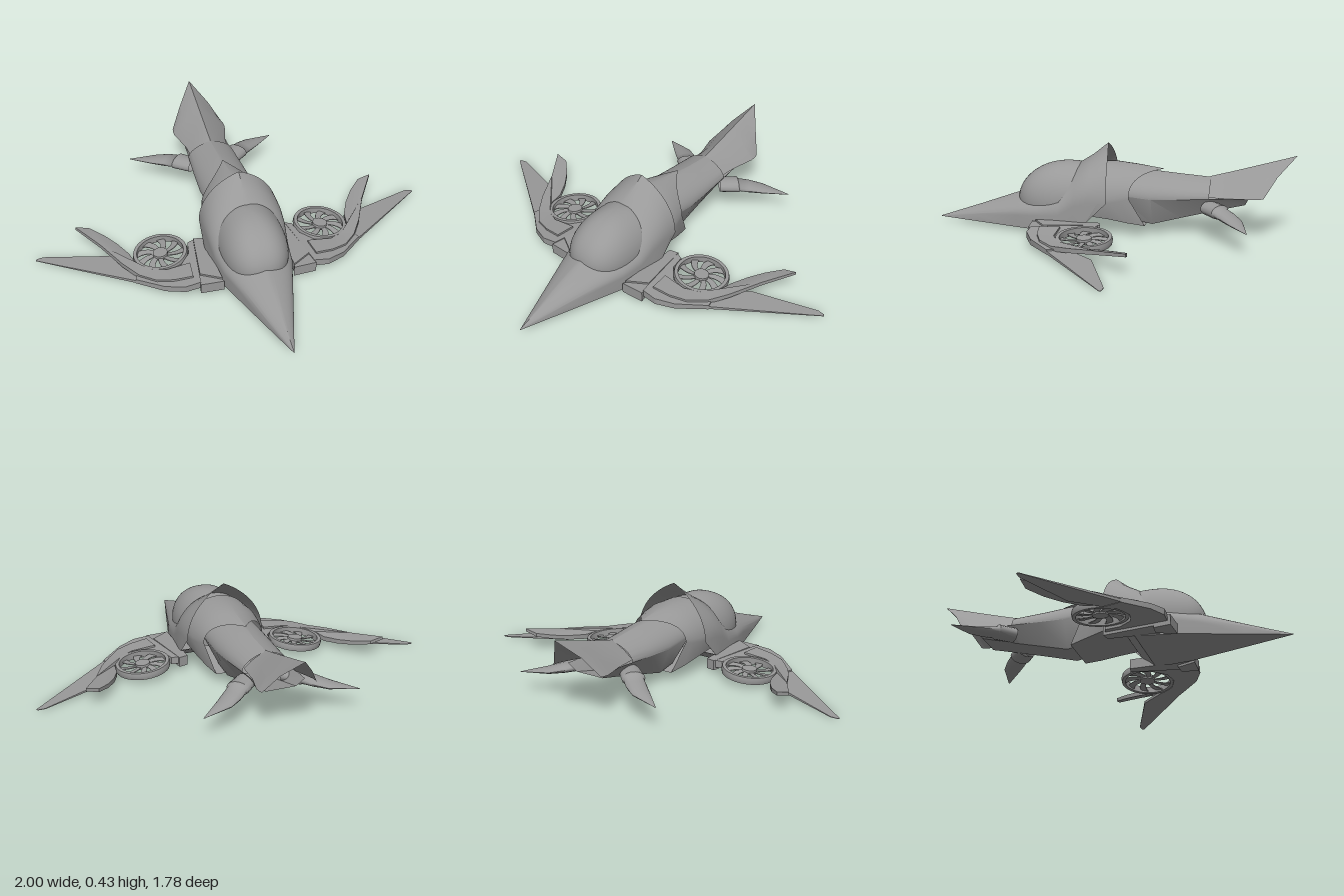
import * as THREE from 'three';
import { toCreasedNormals } from 'three/addons/utils/BufferGeometryUtils.js';

const mat = new THREE.MeshStandardMaterial({ color: 0x999999, side: THREE.DoubleSide });
const mix = THREE.MathUtils.lerp;

function part(name, geometry, crease = 0.6) {
  const mesh = new THREE.Mesh(toCreasedNormals(geometry, crease), mat);
  mesh.name = name;
  return mesh;
}

// Skin a row of cross-sections, each a list of [x, y, z]
function loft(rings, closed = true) {
  const n = rings[0].length, index = [];
  for (let i = 0; i < rings.length - 1; i++) {
    for (let j = 0; j < (closed ? n : n - 1); j++) {
      const a = i * n + j, b = i * n + (j + 1) % n, c = a + n, d = b + n;
      index.push(a, c, b, b, c, d);
    }
  }
  const g = new THREE.BufferGeometry();
  g.setAttribute('position', new THREE.Float32BufferAttribute(rings.flat(2), 3));
  g.setIndex(index);
  return g;
}

// Fuselage section: flat floor, side wall and an arch that can come to a point.
// zb, zs and zt shift the floor, shoulder and crown along the body.
function section({ z, zb = z, zs = z, zt = z, w, wb = w, yb, ys, top, point = 0 }) {
  const half = [[wb, yb, zb]], steps = 14;
  for (let i = 0; i <= steps; i++) {
    const t = i / steps, a = t * Math.PI / 2;
    const rise = mix(Math.sin(a), t, point);
    half.push([w * Math.cos(a), mix(ys, top, rise), mix(zs, zt, t ** 2.6)]);
  }
  const mirrored = half.slice(0, -1).reverse().map(([x, y, zz]) => [-x, y, zz]);
  return [...half, ...mirrored];
}
const body = (name, list) => part(name, loft(list.map(section)), 0.5);

// Bubble canopy: upper dome, squared off a little in plan
function canopy() {
  const g = new THREE.SphereGeometry(1, 48, 20, 0, Math.PI * 2, 0, Math.PI * 0.53);
  const p = g.attributes.position, k = 2.5;
  for (let i = 0; i < p.count; i++) {
    const x = p.getX(i), z = p.getZ(i), r = Math.hypot(x, z);
    const f = r / ((Math.abs(x) ** k + Math.abs(z) ** k) ** (1 / k) || 1);
    p.setXYZ(i, x * f * 0.165, 0.148 + p.getY(i) * 0.187, 0.217 + z * f * 0.26);
  }
  return part('canopy', g, 1);
}

// Plate drawn in plan (x, z), bent to a top surface and given a thickness
function plate(name, outline, top, thick) {
  const shape = new THREE.Shape(outline.map(([x, z]) => new THREE.Vector2(x, z)));
  const g = new THREE.ExtrudeGeometry(shape, { depth: 1, bevelEnabled: false });
  const p = g.attributes.position;
  for (let i = 0; i < p.count; i++) {
    const x = p.getX(i), z = p.getY(i), d = p.getZ(i);
    p.setXYZ(i, x, top(x) - d * thick(x), z);
  }
  return part(name, g, 0.4);
}
const wingTop = (x) => 0.074 - 0.1 * (x - 0.25);

function liftFan() {
  const fan = new THREE.Group();
  fan.name = 'liftFan';
  const ring = [[0.115, -0.018], [0.132, -0.018], [0.136, 0], [0.132, 0.016], [0.115, 0.016], [0.115, -0.018]];
  fan.add(part('fanRing', new THREE.LatheGeometry(ring.map(([r, y]) => new THREE.Vector2(r, y)), 40)));
  fan.add(part('fanHub', new THREE.CylinderGeometry(0.036, 0.038, 0.022, 24)));
  const s = new THREE.Shape();
  s.moveTo(0.028, -0.011);
  s.quadraticCurveTo(0.08, -0.018, 0.117, 0.016);
  s.lineTo(0.104, 0.054);
  s.quadraticCurveTo(0.08, 0.014, 0.028, 0.009);
  const blade = new THREE.ExtrudeGeometry(s, { depth: 0.004, bevelEnabled: false, curveSegments: 6 });
  blade.rotateX(Math.PI / 2 + 0.15);
  for (let i = 0; i < 9; i++) {
    const b = part('fanBlade', blade);
    b.rotation.y = i * Math.PI * 2 / 9;
    fan.add(b);
  }
  fan.position.set(0.413, 0.052, 0.072);
  fan.rotation.z = -0.1;
  return fan;
}

// Socket and blade, elliptical between leading and trailing points [lx, lz, tx, tz, y, h]
function tailplane() {
  const stations = [
    [0.13, -0.44, 0.06, -0.51, 0.15, 0.034],
    [0.205, -0.5, 0.125, -0.575, 0.147, 0.034],
    [0.205, -0.51, 0.135, -0.575, 0.144, 0.026],
    [0.24, -0.54, 0.18, -0.615, 0.135, 0.022],
    [0.295, -0.59, 0.24, -0.652, 0.123, 0.014],
    [0.39, -0.68, 0.386, -0.683, 0.107, 0.001],
  ];
  return part('tailplane', loft(stations.map(([lx, lz, tx, tz, y, h]) =>
    Array.from({ length: 14 }, (_, i) => {
      const a = i / 14 * Math.PI * 2, t = 0.5 + 0.5 * Math.cos(a);
      return [mix(lx, tx, t), y + h * Math.sin(a), mix(lz, tz, t)];
    }))), 0.9);
}

function side() {
  const g = new THREE.Group();
  g.add(plate('rootStrip', [[0.19, 0.04], [0.235, 0.03], [0.275, 0.3], [0.18, 0.36]],
    () => 0.075, () => 0.05));
  g.add(plate('rootHinge', [[0.215, 0.28], [0.275, 0.285], [0.29, 0.37], [0.175, 0.375]],
    () => 0.066, () => 0.052));
  g.add(plate('innerWing', [[0.238, 0.04], [0.27, 0.05], [0.285, 0.13], [0.34, 0.195], [0.413, 0.21],
    [0.49, 0.18], [0.54, 0.12], [0.57, 0.215], [0.45, 0.32], [0.36, 0.36], [0.285, 0.355]],
    wingTop, (x) => 0.036 - 0.04 * (x - 0.25)));
  g.add(plate('outerWing', [[0.53, 0.13], [0.65, -0.01], [0.96, -0.123], [0.995, -0.12], [1, -0.11],
    [0.57, 0.215]], (x) => 0.037 - 0.074 * (x - 0.55), (x) => 0.015 - 0.028 * (x - 0.55)));
  // Swept blade that curls upward at its tip
  g.add(plate('wingBlade', [[0.3, 0.21], [0.42, 0.215], [0.49, 0.18], [0.545, 0.11], [0.56, 0.03], [0.6, -0.05],
    [0.65, -0.12], [0.715, -0.183], [0.78, -0.187], [0.73, -0.11], [0.685, -0.04], [0.645, 0.04],
    [0.61, 0.11], [0.55, 0.2], [0.48, 0.27], [0.4, 0.3], [0.31, 0.31]],
    (x) => Math.max(wingTop(x) + 0.01, 0.054 + 0.23 * (x - 0.56)),
    (x) => 0.034 - 0.04 * (x - 0.3)));
  g.add(liftFan(), tailplane());
  return g;
}

// Roof-like tail fin: [ridge z, ridge y, edge x, edge y, edge z]
function tailFin() {
  const rings = [
    [-0.475, 0.284, 0.1, 0.2, -0.455],
    [-0.58, 0.312, 0.108, 0.2, -0.57],
    [-0.69, 0.343, 0.14, 0.208, -0.69],
    [-0.8, 0.374, 0.14, 0.21, -0.72],
    [-0.89, 0.4, 0.135, 0.212, -0.74],
  ].map(([rz, ry, ex, ey, ez]) => {
    const mx = ex * 0.58, my = mix(ey, ry, 0.5), mz = mix(ez, rz, 0.4);
    return [[ex, ey, ez], [mx, my, mz], [0, ry, rz], [-mx, my, mz], [-ex, ey, ez]];
  });
  return part('tailFin', loft(rings, false), 0.5);
}

// Open tray under the fin: [rim z, floor z, rim x, rim y, floor x, floor y]
function tailTray() {
  const rings = [
    [-0.44, -0.44, 0.118, 0.195, 0.068, 0.112],
    [-0.67, -0.65, 0.108, 0.207, 0.075, 0.165],
  ].map(([rz, fz, rx, ry, fx, fy]) => [[-rx, ry, rz], [-fx, fy, fz], [fx, fy, fz], [rx, ry, rz]]);
  return part('tailTray', loft(rings, false), 0.4);
}

export function createModel() {
  const model = new THREE.Group();
  model.name = 'aircraft';

  // Nose that widens into the raised collar behind the canopy
  model.add(body('noseAndCollar', [
    { z: 0.89, w: 0.001, yb: 0.02, ys: 0.022, top: 0.024, point: 0.5 },
    { z: 0.67, w: 0.072, yb: 0.02, ys: 0.05, top: 0.1, point: 0.5 },
    { z: 0.47, w: 0.135, yb: 0.02, ys: 0.08, top: 0.172, point: 0.5 },
    { z: 0.36, w: 0.17, yb: 0.02, ys: 0.09, top: 0.2, point: 0.4 },
    { z: 0.25, w: 0.185, yb: 0.02, ys: 0.1, top: 0.24, point: 0.2 },
    { z: 0.17, w: 0.195, yb: 0.025, ys: 0.15, top: 0.33, point: 0.1 },
    { z: 0.1, zb: 0.14, w: 0.2, yb: 0.05, ys: 0.17, top: 0.375, point: 0.3 },
    { z: 0.05, zb: 0.11, zt: 0.06, w: 0.2, yb: 0.07, ys: 0.17, top: 0.408, point: 0.42 },
    { z: 0.01, zb: 0.1, zt: 0.03, w: 0.198, yb: 0.08, ys: 0.17, top: 0.432, point: 0.5 },
  ]));
  model.add(canopy());

  // Middle body, its rear edge drawn out to a point on top
  model.add(body('midBody', [
    { z: 0.12, w: 0.18, wb: 0.16, yb: 0.1, ys: 0.17, top: 0.335 },
    { z: 0, w: 0.178, wb: 0.155, yb: 0.085, ys: 0.17, top: 0.34 },
    { z: -0.06, zt: -0.12, zb: -0.09, w: 0.165, wb: 0.14, yb: 0.065, ys: 0.18, top: 0.331, point: 0.1 },
    { z: -0.095, zt: -0.25, zb: -0.17, w: 0.155, wb: 0.12, yb: 0.05, ys: 0.19, top: 0.312, point: 0.2 },
  ]));

  // Tail body, hollow at the back, with its floor carried on under the fin
  model.add(body('tailBody', [
    { z: -0.04, zb: -0.1, w: 0.135, wb: 0.08, yb: 0.07, ys: 0.2, top: 0.3, point: 0.2 },
    { z: -0.2, w: 0.135, wb: 0.075, yb: 0.05, ys: 0.185, top: 0.303, point: 0.35 },
    { z: -0.34, w: 0.128, wb: 0.07, yb: 0.086, ys: 0.19, top: 0.291, point: 0.5 },
    { z: -0.48, w: 0.118, wb: 0.068, yb: 0.121, ys: 0.197, top: 0.28, point: 0.55 },
  ]));
  model.add(tailFin(), tailTray());

  // Wings, fans and tailplanes on both sides
  const left = side(), right = side();
  left.name = 'leftWing';
  right.name = 'rightWing';
  right.scale.x = -1;
  model.add(left, right);
  return model;
}
